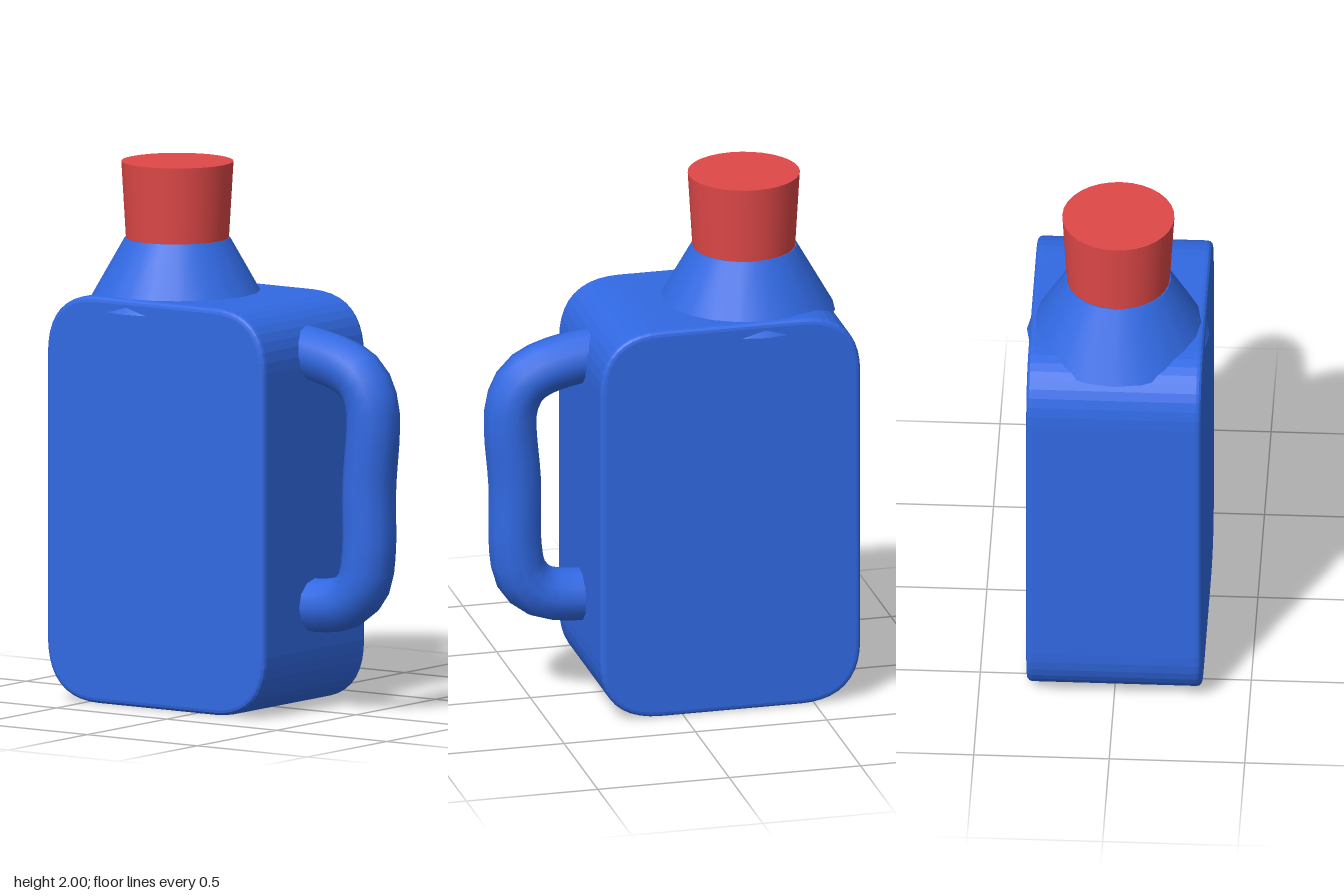
import * as THREE from 'three';

const blue = new THREE.MeshStandardMaterial({ color: 0x3169e3 });
blue.name = 'bluePlastic';
const red = new THREE.MeshStandardMaterial({ color: 0xe04848 });
red.name = 'redPlastic';

const NECK_X = -0.312;

// Rectangle with softly curved corners
function softRect(x0, x1, y0, y1, r) {
  const s = new THREE.Shape();
  s.moveTo(x0 + r, y0);
  s.lineTo(x1 - r, y0);
  s.quadraticCurveTo(x1, y0, x1, y0 + r);
  s.lineTo(x1, y1 - r);
  s.quadraticCurveTo(x1, y1, x1 - r, y1);
  s.lineTo(x0 + r, y1);
  s.quadraticCurveTo(x0, y1, x0, y1 - r);
  s.lineTo(x0, y0 + r);
  s.quadraticCurveTo(x0, y0, x0 + r, y0);
  return s;
}

export function createModel() {
  const model = new THREE.Group();
  model.name = 'jug';
  const add = (name, geometry, material, x = 0, y = 0, z = 0) => {
    const mesh = new THREE.Mesh(geometry, material);
    mesh.name = name;
    mesh.position.set(x, y, z);
    model.add(mesh);
  };

  // Body: extruded slab with a fine rounded rim
  const bevel = 0.02, half = 0.323;
  const bodyGeo = new THREE.ExtrudeGeometry(
    softRect(-0.677 + bevel, 0.313 - bevel, 0.005 + bevel, 1.52 - bevel, 0.21), {
      depth: 2 * (half - bevel), bevelEnabled: true, bevelSize: bevel,
      bevelThickness: bevel, bevelSegments: 3, curveSegments: 10,
    });
  add('body', bodyGeo, blue, 0, 0, -(half - bevel));

  // Shoulder cone, sunk slightly into the body, and flared cap
  add('shoulder', new THREE.CylinderGeometry(0.195, 0.337, 0.25, 20), blue, NECK_X, 1.59);
  add('cap', new THREE.CylinderGeometry(0.207, 0.19, 0.285, 32), red, NECK_X, 1.8575);

  // Handle: bent tube with its ends inside the body
  const path = new THREE.CatmullRomCurve3([
    [0.2, 1.345], [0.32, 1.33], [0.46, 1.295], [0.53, 1.25], [0.57, 1.17], [0.577, 1.08], [0.56, 0.86],
    [0.557, 0.6], [0.535, 0.495], [0.475, 0.43], [0.4, 0.405], [0.2, 0.395],
  ].map(([x, y]) => new THREE.Vector3(x, y, 0)));
  add('handle', new THREE.TubeGeometry(path, 28, 0.1, 12, false), blue);

  return model;
}
